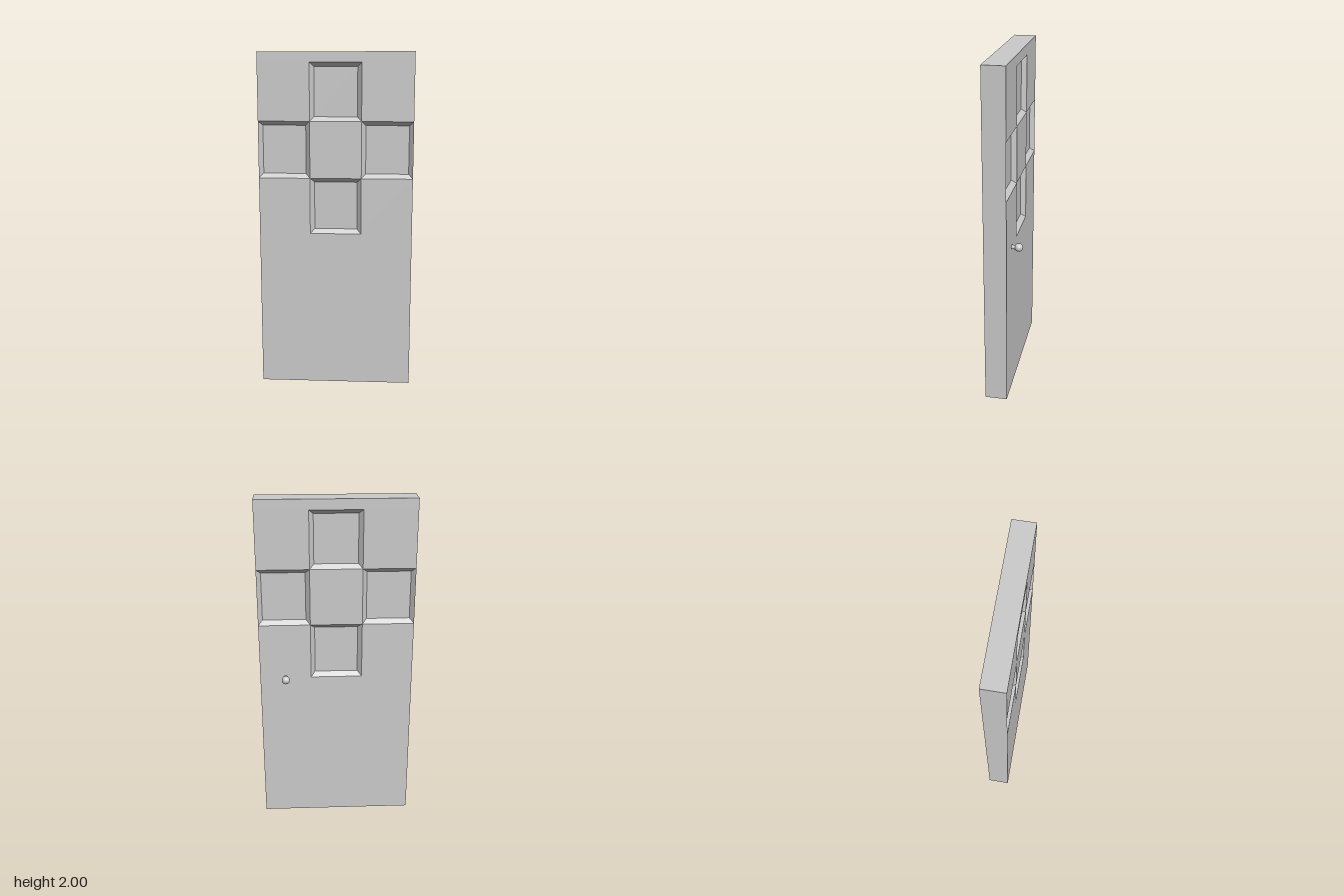
import * as THREE from 'three';

const W = 0.905, D = 0.13, H = 2;       // door width, thickness, height
const INSET = 0.025, DEPTH = 0.028;     // bevel and depth of the sunken panels
const COLS = [-W / 2, -W / 6, W / 6, W / 2];
const ROWS = [0, 0.94, 1.272, 1.605, 1.94, H];
const SUNKEN = new Set(['1,1', '0,2', '2,2', '1,3']); // column,row: panels in a cross

const rect = (x0, x1, y0, y1, z) => [[x0, y0, z], [x1, y0, z], [x1, y1, z], [x0, y1, z]];

// One face of the door, facing +z: flat cells plus bevelled sunken panels
function faceQuads() {
  const quads = [];
  for (let c = 0; c < 3; c++) {
    for (let r = 0; r < 5; r++) {
      const [x0, x1, y0, y1] = [COLS[c], COLS[c + 1], ROWS[r], ROWS[r + 1]];
      const rim = rect(x0, x1, y0, y1, D / 2);
      if (!SUNKEN.has(`${c},${r}`)) {
        quads.push(rim);
        continue;
      }
      const floor = rect(x0 + INSET, x1 - INSET, y0 + INSET, y1 - INSET, D / 2 - DEPTH);
      quads.push(floor);
      for (let i = 0; i < 4; i++) {
        const j = (i + 1) % 4;
        quads.push([rim[i], rim[j], floor[j], floor[i]]);
      }
    }
  }
  return quads;
}

function doorGeometry() {
  const front = faceQuads();
  // The back is the front turned half way round the upright axis
  const back = front.map(q => q.map(([x, y, z]) => [-x, y, -z]));
  // Edges of the slab
  const a = rect(-W / 2, W / 2, 0, H, D / 2), b = rect(-W / 2, W / 2, 0, H, -D / 2);
  const edges = [0, 1, 2, 3].map(i => {
    const j = (i + 1) % 4;
    return [a[j], a[i], b[i], b[j]];
  });
  const positions = [...front, ...back, ...edges]
    .flatMap(([p, q, r, s]) => [p, q, r, p, r, s]).flat();
  const geometry = new THREE.BufferGeometry();
  geometry.setAttribute('position', new THREE.Float32BufferAttribute(positions, 3));
  geometry.computeVertexNormals();
  return geometry;
}

export function createModel() {
  const group = new THREE.Group();
  group.name = 'door';
  const material = new THREE.MeshStandardMaterial({ color: 0xcccccc });
  const add = (name, geometry, parent) => {
    const mesh = new THREE.Mesh(geometry, material);
    mesh.name = name;
    parent.add(mesh);
    return mesh;
  };

  // Door leaf, standing ajar
  const leaf = new THREE.Group();
  leaf.name = 'leaf';
  leaf.rotation.y = -0.944;
  group.add(leaf);
  add('panelledSlab', doorGeometry(), leaf);

  // Round knob on a short stem, on the back only
  const knob = new THREE.Group();
  knob.name = 'knob';
  knob.position.set(0.301, 0.941, -D / 2);
  leaf.add(knob);
  const stem = add('knobStem', new THREE.CylinderGeometry(0.0125, 0.0125, 0.04, 24), knob);
  stem.rotation.x = Math.PI / 2;
  stem.position.z = -0.015;
  add('knobBall', new THREE.SphereGeometry(0.024, 32, 20), knob).position.z = -0.041;

  return group;
}
